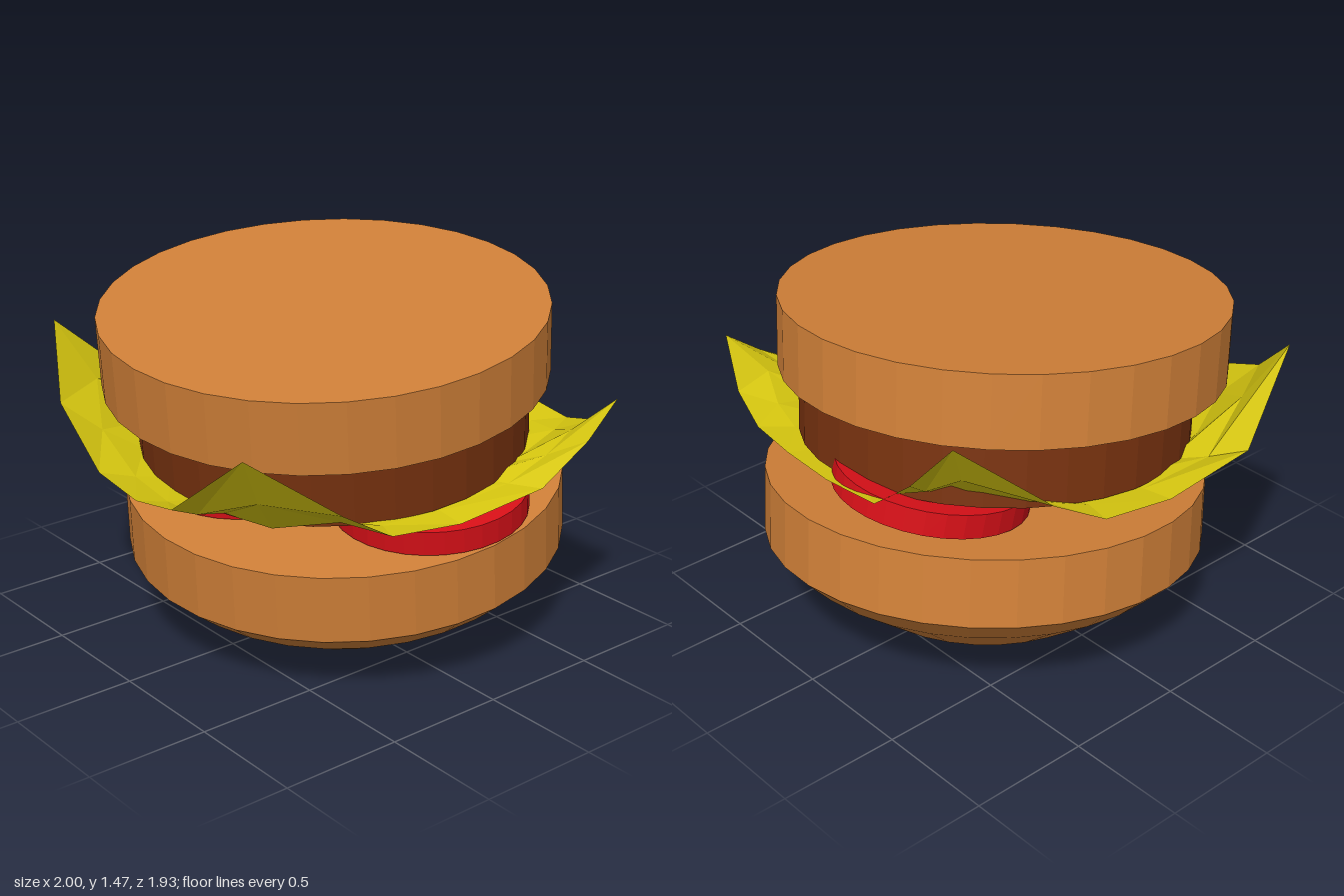
import * as THREE from 'three';

const UP = new THREE.Vector3(0, 1, 0);
const STACK_TILT = [-0.1, 1, 0.066];

const paint = (color, side = THREE.FrontSide) =>
  new THREE.MeshStandardMaterial({ color, side, flatShading: true });

// Put a part at a point with its axis along the given direction
function place(name, geometry, material, position, axis = STACK_TILT) {
  const mesh = new THREE.Mesh(geometry, material);
  mesh.name = name;
  mesh.position.set(...position);
  mesh.quaternion.setFromUnitVectors(UP, new THREE.Vector3(...axis).normalize());
  return mesh;
}

// Leaf: a closed rim shrunk towards the middle in rings, flat inside and curled up outside
function leafGeometry(rim) {
  const rings = [[0.45, 0], [0.7, 0.04], [0.85, 0.45], [1, 1]]; // [scale, share of curl]
  const plane = (x, z) => 0.79 + 0.1 * x - 0.066 * z;
  const n = rim.length;
  const positions = [0, plane(0, 0), 0];
  for (const [t, curl] of rings) {
    for (const [x, y, z] of rim) {
      const flat = plane(x * t, z * t);
      positions.push(x * t, flat + (y - plane(x, z)) * curl, z * t);
    }
  }
  const index = [];
  for (let i = 0; i < n; i++) {
    const j = (i + 1) % n;
    index.push(0, 1 + j, 1 + i);
    for (let r = 0; r < rings.length - 1; r++) {
      const a = 1 + r * n + i, b = 1 + r * n + j;
      index.push(a, b, a + n, b, b + n, a + n);
    }
  }
  const geometry = new THREE.BufferGeometry();
  geometry.setAttribute('position', new THREE.Float32BufferAttribute(positions, 3));
  geometry.setIndex(index);
  geometry.computeVertexNormals();
  return geometry;
}

export function createModel() {
  const model = new THREE.Group();
  model.name = 'burger';
  const bread = paint(0xd08038);
  const meat = paint(0x78320f);
  const red = paint(0xd81018);
  const green = paint(0xd8c810, THREE.DoubleSide);

  // Flat bun half on top
  model.add(place('flatBun', new THREE.CylinderGeometry(0.895, 0.895, 0.29, 32), bread, [-0.027, 1.223, 0.007]));

  // Patty
  model.add(place('patty', new THREE.CylinderGeometry(0.79, 0.79, 0.28, 32), meat, [0.022, 0.945, 0.0]));

  // Domed bun half below, origin at the rim of the dome
  const dome = [[0, -0.35], [0.3, -0.335], [0.52, -0.29], [0.79, -0.105], [0.9, 0], [0.895, 0.28], [0, 0.28]]
    .map(([r, y]) => new THREE.Vector2(r, y));
  model.add(place('domedBun', new THREE.LatheGeometry(dome, 32), bread, [0.105, 0.37, -0.015]));

  // Three round slices; the last leans on the others
  const slice = new THREE.CylinderGeometry(0.39, 0.39, 0.1, 32);
  const slices = [
    [[0.095, 0.675, 0.51]],
    [[-0.27, 0.685, -0.19]],
    [[0.5, 0.81, -0.17], [-0.2, 1, -0.05]],
  ];
  for (const [position, axis] of slices) model.add(place('tomatoSlice', slice, red, position, axis));

  // Leaf rim, with four raised corners
  const rim = [
    [0.67, 1.06, 0.945], [0.5, 0.93, 0.96], [0.27, 0.79, 0.95], [-0.1, 0.73, 0.9], [-0.4, 0.75, 0.86], [-0.6, 0.87, 0.82],
    [-0.92, 1.11, 0.66], [-1, 0.84, 0.33], [-1, 0.8, 0.1], [-0.97, 0.81, -0.2], [-0.9, 0.97, -0.58],
    [-0.75, 1.22, -0.85], [-0.4, 0.93, -0.97], [0, 0.87, -0.95], [0.3, 0.89, -0.91], [0.5, 1.0, -0.85],
    [0.82, 1.28, -0.67], [0.88, 1.08, -0.5], [0.91, 0.94, -0.33], [0.88, 0.88, 0], [0.84, 0.85, 0.3],
    [0.8, 0.84, 0.56], [0.75, 0.9, 0.76],
  ];
  const leaf = new THREE.Mesh(leafGeometry(rim), green);
  leaf.name = 'lettuceLeaf';
  model.add(leaf);

  return model;
}
